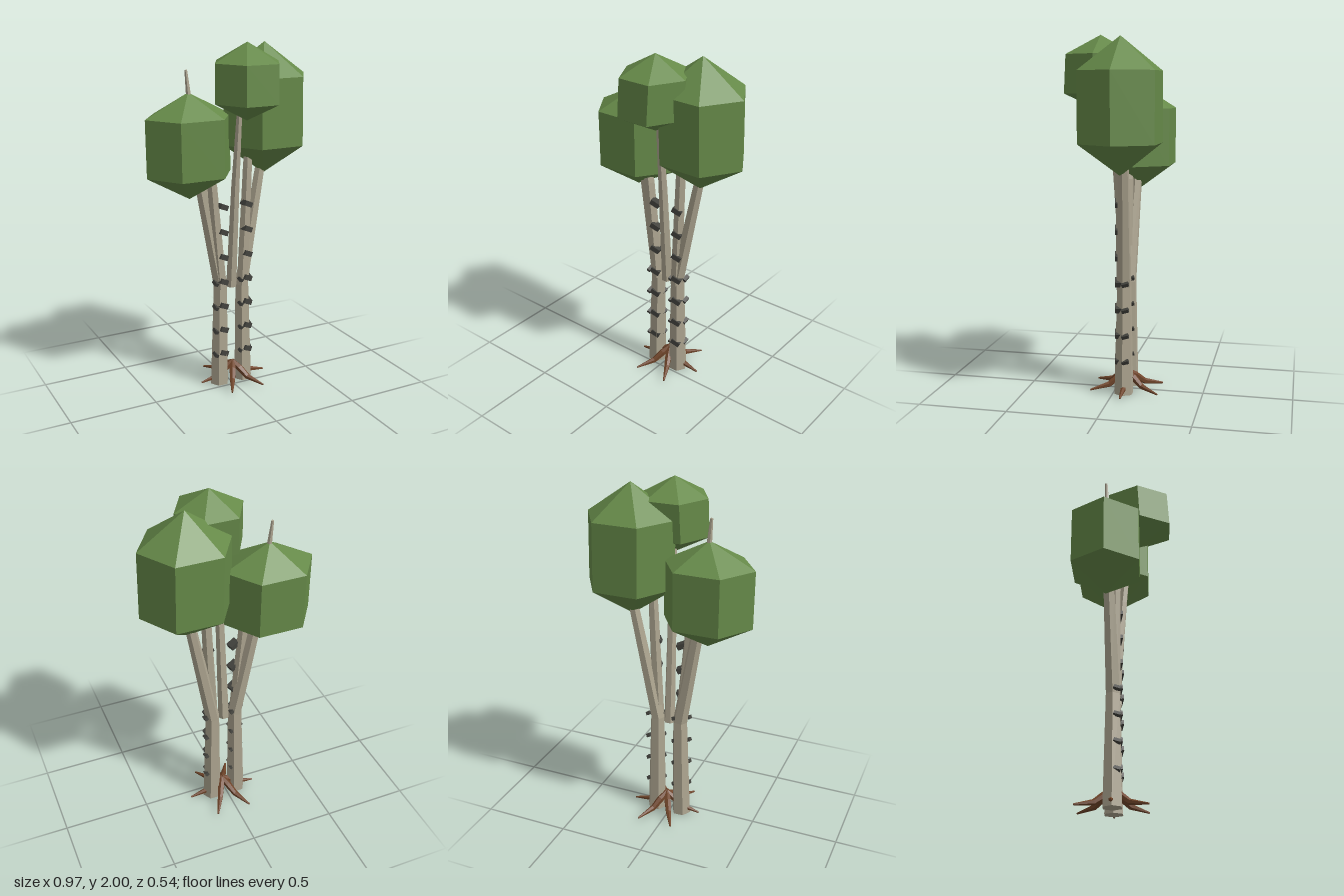
import * as THREE from 'three';

const paint = (name, color) => Object.assign(new THREE.MeshStandardMaterial({ color, flatShading: true }), { name });

// Tapered six-sided limb through points [x, y, z, radius], capped at both ends
function limb(points, ref, sides = 6) {
  const centres = points.map(([x, y, z]) => new THREE.Vector3(x, y, z));
  const pos = [], idx = [], last = points.length - 1;
  centres.forEach((c, j) => {
    const t = centres[Math.min(j + 1, last)].clone().sub(centres[Math.max(j - 1, 0)]).normalize();
    const u = ref.clone().addScaledVector(t, -ref.dot(t)).normalize();
    const v = t.clone().cross(u);
    for (let i = 0; i < sides; i++) {
      const a = (i / sides) * Math.PI * 2, r = points[j][3];
      const p = c.clone().addScaledVector(u, Math.cos(a) * r).addScaledVector(v, Math.sin(a) * r);
      pos.push(p.x, p.y, p.z);
    }
  });
  const bottom = pos.length / 3, top = bottom + 1;
  pos.push(...centres[0].toArray(), ...centres[last].toArray());
  for (let i = 0; i < sides; i++) {
    const n = (i + 1) % sides;
    for (let j = 0; j < last; j++) {
      const a = j * sides + i, b = j * sides + n;
      idx.push(a, b, b + sides, a, b + sides, a + sides);
    }
    idx.push(bottom, n, i, top, last * sides + i, last * sides + n);
  }
  const g = new THREE.BufferGeometry();
  g.setAttribute('position', new THREE.Float32BufferAttribute(pos, 3));
  g.setIndex(idx);
  g.computeVertexNormals();
  return g;
}

// Six-sided leaf crown with pointed ends; heights run bottom, lower ring, upper ring, top
function crown([y0, y1, y2, y3], cx, cz, rx, rz, shiftX, shiftZ) {
  const profile = [[0, y0], [1, y1], [1, y2], [0, y3]].map(([r, y]) => new THREE.Vector2(r, y));
  const g = new THREE.LatheGeometry(profile, 6, Math.PI / 2);
  g.scale(rx, 1, rz);
  // The lower ring sits slightly off the upper one
  const p = g.attributes.position;
  for (let i = 0; i < p.count; i++) {
    if (Math.abs(p.getY(i) - y1) < 0.001) p.setXYZ(i, p.getX(i) + shiftX, y1, p.getZ(i) + shiftZ);
  }
  return g.translate(cx, 0, cz);
}

export function createModel() {
  const tree = new THREE.Group();
  tree.name = 'birchTree';
  const bark = paint('bark', 0xaea691);
  const barkMark = paint('barkMark', 0x42423d);
  const rootWood = paint('rootWood', 0x70452a);
  const leaf = paint('leaf', 0x668a49);
  const add = (name, geometry, material) => {
    const m = new THREE.Mesh(geometry, material);
    m.name = name;
    tree.add(m);
    return m;
  };
  const X = new THREE.Vector3(1, 0, 0), Y = new THREE.Vector3(0, 1, 0);

  // Trunks, each bending outward at the fork
  add('rightTrunk', limb([[-0.067, 0, -0.06, 0.056], [-0.058, 0.62, -0.06, 0.043], [-0.168, 1.22, -0.08, 0.034],
    [-0.222, 1.65, -0.09, 0.018], [-0.24, 1.85, -0.095, 0.008]], X), bark);
  add('leftTrunk', limb([[0.09, 0, -0.06, 0.056], [0.082, 0.62, -0.06, 0.042], [0.207, 1.28, -0.08, 0.031],
    [0.225, 1.6, -0.07, 0.02]], X), bark);

  // Inner branches and the middle stem
  add('rightInnerBranch', limb([[-0.058, 0.6, -0.05, 0.036], [-0.112, 1.2, -0.045, 0.03], [-0.14, 1.4, -0.045, 0.02]], X), bark);
  add('leftInnerBranch', limb([[0.08, 0.6, -0.05, 0.036], [0.108, 1.3, -0.045, 0.029], [0.115, 1.5, -0.045, 0.02]], X), bark);
  add('middleStem', limb([[0.01, 0.6, -0.055, 0.033], [0.013, 1.2, -0.01, 0.026], [0.018, 1.72, 0.04, 0.015]], X), bark);

  // Slanted dark marks climbing both trunks
  for (const x of [-0.057, 0.097]) {
    for (let i = 0; i < 7; i++) {
      const y = 0.2 + i * 0.148;
      const mark = add('barkMark', new THREE.BoxGeometry(0.056, 0.03, 0.045), barkMark);
      mark.position.set(x, y, -0.034);
      mark.rotation.set(0, 0.25, -0.42);
      if (i < 4) {
        // Small chip further round the trunk
        for (const [dx, dz] of [[-0.044, -0.035], [0.028, -0.075]]) {
          const chip = add('barkChip', new THREE.BoxGeometry(0.022, 0.02, 0.04), barkMark);
          chip.position.set(x + dx + (x > 0 ? 0.006 : 0), y - 0.005, dz);
          chip.rotation.set(0.3, 0, -0.42);
        }
      }
    }
  }

  // Six roots spreading from a shared peak
  for (let i = 0; i < 6; i++) {
    const a = (i / 6) * Math.PI * 2, c = Math.cos(a), s = Math.sin(a);
    const path = [[0, 0.11, 0.016], [0.045, 0.082, 0.021], [0.1, 0.04, 0.017], [0.205, 0.018, 0.005]];
    add('root', limb(path.map(([d, y, r]) => [0.025 + d * c, y, -0.065 + d * 1.08 * s, r]), Y), rootWood);
  }

  // Leaf crowns
  add('rightCrown', crown([1.14, 1.28, 1.6, 1.73], -0.23, -0.093, 0.252, 0.213, 0.003, 0), leaf);
  add('leftCrown', crown([1.25, 1.425, 1.805, 1.985], 0.222, -0.067, 0.255, 0.236, 0.008, -0.003), leaf);
  add('frontCrown', crown([1.585, 1.685, 1.895, 2], 0.035, 0.082, 0.19, 0.2, -0.005, 0.012), leaf);
  return tree;
}
